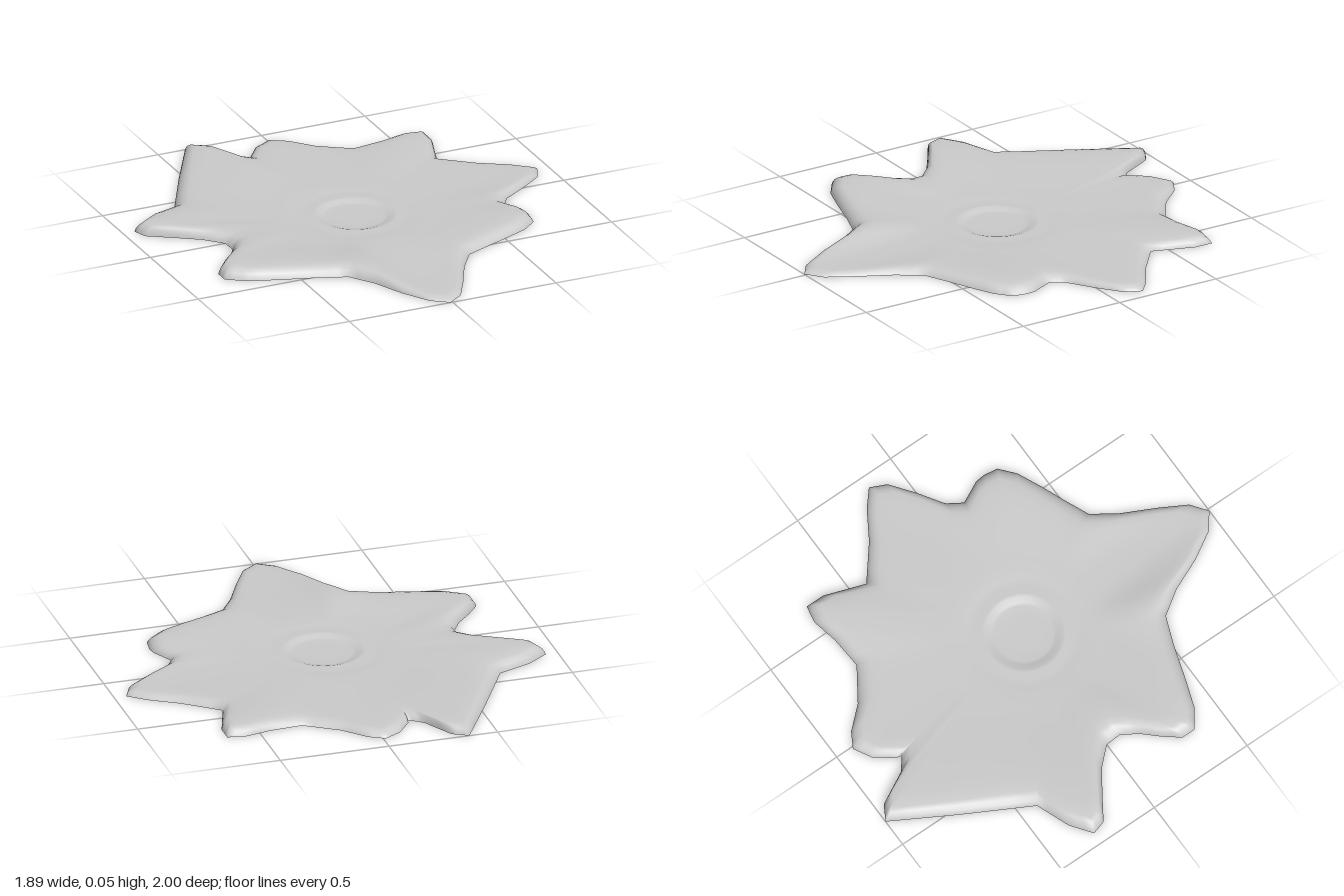
import * as THREE from 'three';

// Outline of the splash as [x, z], going round by increasing angle
const OUTLINE = [
  [-0.37, -1], [-0.3, -0.96], [-0.22, -0.81], [-0.16, -0.765], [-0.155, -0.79], [-0.09, -0.875],
  [-0.01, -0.92], [0.06, -0.88], [0.15, -0.78], [0.3, -0.68], [0.45, -0.69], [0.57, -0.715],
  [0.65, -0.7], [0.65, -0.615], [0.585, -0.425], [0.74, -0.3], [0.87, -0.22], [0.945, -0.155],
  [0.91, -0.08], [0.805, 0], [0.69, 0.075], [0.645, 0.145], [0.695, 0.245], [0.7, 0.29],
  [0.69, 0.355], [0.62, 0.415], [0.51, 0.465], [0.4, 0.51], [0.285, 0.56], [0.21, 0.67],
  [0.135, 0.82], [0.065, 0.945], [-0.01, 1], [-0.085, 0.945], [-0.16, 0.82], [-0.225, 0.67],
  [-0.3, 0.56], [-0.43, 0.51], [-0.59, 0.46], [-0.72, 0.415], [-0.805, 0.355], [-0.805, 0.29],
  [-0.75, 0.22], [-0.68, 0.145], [-0.635, 0.07], [-0.64, 0], [-0.715, -0.08], [-0.825, -0.155],
  [-0.925, -0.22], [-0.945, -0.285], [-0.85, -0.355], [-0.695, -0.415], [-0.53, -0.72],
];

// Height near the edge as [angle in degrees, y]
const EDGE_HEIGHT = [
  [-9, 0.025], [12, 0.033], [28, 0.04], [62, 0.035], [90, 0.018], [112, 0.049], [130, 0.044],
  [156, 0.049], [180, 0.04], [197, 0.049], [215, 0.04], [250, 0.042], [260, 0.032], [270, 0.03],
  [290, 0.03], [312, 0.04], [325, 0.03], [351, 0.025],
];

// Central dish as [radius, y]
const DISH = [[0.07, 0.015], [0.13, 0.015], [0.145, 0.018], [0.17, 0.026], [0.185, 0.027], [0.22, 0.025], [0.255, 0.026], [0.29, 0.029]];
// Sheet between the dish and the edge, and the rim curling down as [inset, height factor]
const SPAN = [0.15, 0.3, 0.5, 0.7, 0.88];
const RIM = [[0.06, 0.98], [0.035, 0.85], [0.015, 0.55], [0.005, 0.25], [0, 0]];

const CENTRE_X = -0.01;

function edgeHeight(angle) {
  const deg = ((THREE.MathUtils.radToDeg(angle) + 369) % 360) - 9;
  const i = Math.max(1, EDGE_HEIGHT.findIndex(([a]) => a >= deg));
  const [a0, h0] = EDGE_HEIGHT[i - 1];
  const [a1, h1] = EDGE_HEIGHT[i];
  return THREE.MathUtils.lerp(h0, h1, THREE.MathUtils.smoothstep(deg, a0, a1));
}

// Radial section from the dish to the rim, as [radius, y]
function section(radius, angle) {
  const inner = DISH[DISH.length - 1];
  const h = edgeHeight(angle);
  const shoulder = radius - RIM[0][0];
  const span = SPAN.map((u) => [
    THREE.MathUtils.lerp(inner[0], shoulder, u),
    THREE.MathUtils.lerp(inner[1], h, THREE.MathUtils.smoothstep(u, 0, 0.9)),
  ]);
  const rim = RIM.map(([inset, k]) => [radius - inset, h * k]);
  return [...DISH, ...span, ...rim];
}

function splashGeometry() {
  const steps = 3;
  const positions = [CENTRE_X, 0.015, 0];
  const indices = [];
  const columns = OUTLINE.length * steps;
  const rows = DISH.length + SPAN.length + RIM.length;

  for (let c = 0; c < columns; c++) {
    const i = Math.floor(c / steps);
    const t = (c % steps) / steps;
    const a = OUTLINE[i];
    const b = OUTLINE[(i + 1) % OUTLINE.length];
    const x = THREE.MathUtils.lerp(a[0], b[0], t) - CENTRE_X;
    const z = THREE.MathUtils.lerp(a[1], b[1], t);
    const angle = Math.atan2(z, x);
    for (const [r, y] of section(Math.hypot(x, z), angle)) {
      positions.push(CENTRE_X + r * Math.cos(angle), y, r * Math.sin(angle));
    }
  }

  for (let c = 0; c < columns; c++) {
    const p = 1 + c * rows;
    const q = 1 + ((c + 1) % columns) * rows;
    indices.push(0, q, p);
    for (let r = 0; r < rows - 1; r++) {
      indices.push(p + r, q + r, p + r + 1, q + r, q + r + 1, p + r + 1);
    }
  }

  const geometry = new THREE.BufferGeometry();
  geometry.setAttribute('position', new THREE.Float32BufferAttribute(positions, 3));
  geometry.setIndex(indices);
  geometry.computeVertexNormals();
  return geometry;
}

export function createModel() {
  const group = new THREE.Group();
  group.name = 'splash';
  // Thin open sheet, hollow underneath
  const material = new THREE.MeshStandardMaterial({ color: 0xcccccc, side: THREE.DoubleSide });
  const sheet = new THREE.Mesh(splashGeometry(), material);
  sheet.name = 'splashSheet';
  group.add(sheet);
  return group;
}
